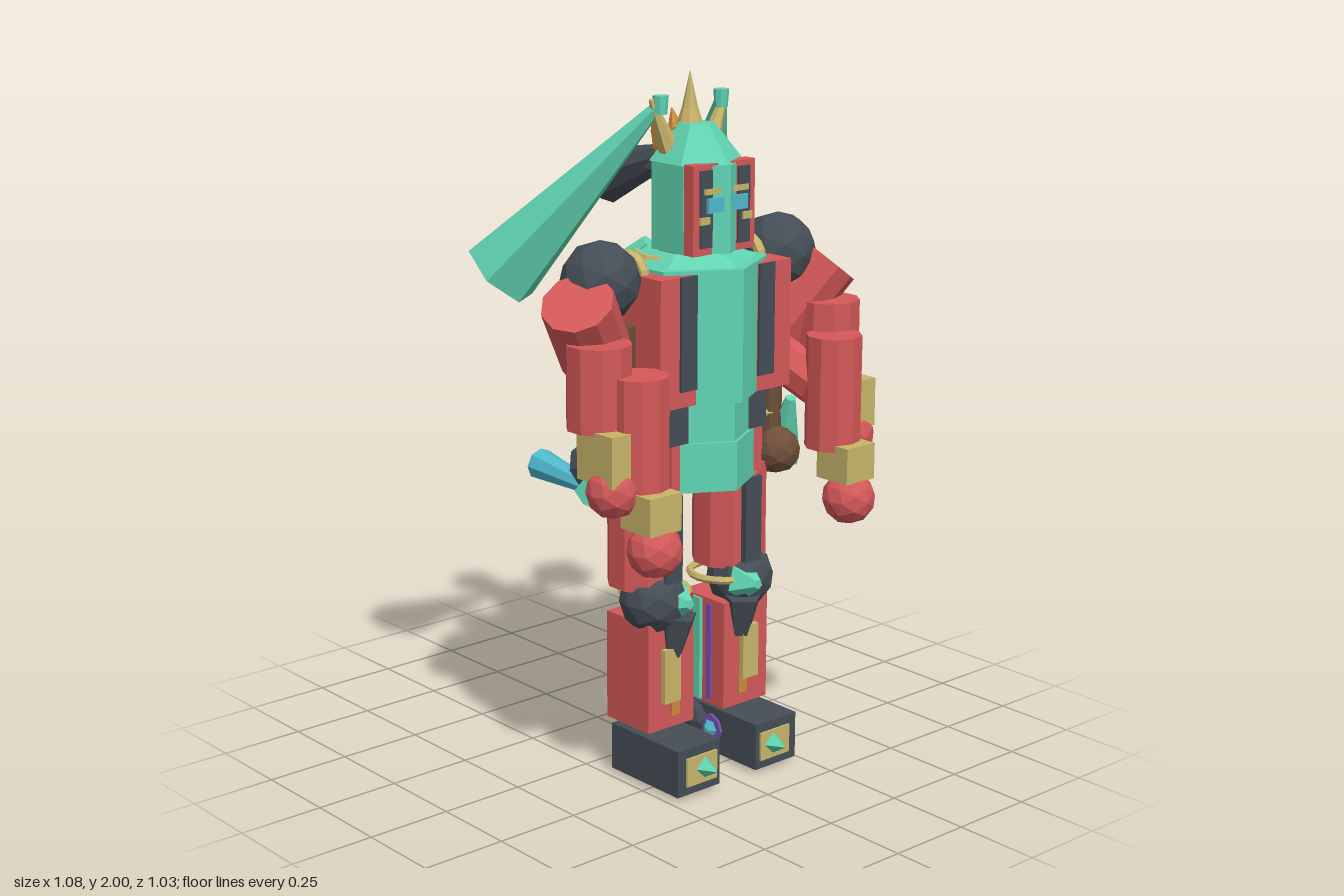
import * as THREE from 'three';

const mat = (name, color) => {
  const m = new THREE.MeshStandardMaterial({ color });
  m.name = name;
  return m;
};

export function createModel() {
  const red = mat('red', 0xd45858), green = mat('green', 0x60d4b2), dark = mat('charcoal', 0x454d56);
  const gold = mat('gold', 0xc8b46a), orange = mat('orange', 0xcc8a3c), brown = mat('brown', 0x6e4f3a);
  const purple = mat('purple', 0x7a50b0), cyan = mat('cyan', 0x50b8cc);
  const model = new THREE.Group();
  model.name = 'hornedRobot';

  // Faceted mesh helpers
  const add = (name, geometry, material, x = 0, y = 0, z = 0) => {
    const g = geometry.index ? geometry.toNonIndexed() : geometry;
    g.computeVertexNormals();
    const mesh = new THREE.Mesh(g, material);
    mesh.name = name;
    mesh.position.set(x, y, z);
    model.add(mesh);
    return mesh;
  };
  // Box given by its limits on each axis
  const box = (name, m, x0, x1, y0, y1, z0, z1) =>
    add(name, new THREE.BoxGeometry(Math.abs(x1 - x0), y1 - y0, z1 - z0), m, (x0 + x1) / 2, (y0 + y1) / 2, (z0 + z1) / 2);
  const ball = (name, m, r, x, y, z) => add(name, new THREE.IcosahedronGeometry(r, 1), m, x, y, z);
  // Upright prism between two heights
  const prism = (name, m, r0, r1, y0, y1, x, z, sides = 6) =>
    add(name, new THREE.CylinderGeometry(r1, r0, y1 - y0, sides), m, x, (y0 + y1) / 2, z);
  // Tapered rod from point a to point b
  const rod = (name, m, a, b, ra, rb, sides = 8) => {
    const p = new THREE.Vector3(...a), q = new THREE.Vector3(...b), d = q.clone().sub(p);
    const mesh = add(name, new THREE.CylinderGeometry(rb, ra, d.length(), sides), m);
    mesh.position.copy(p.add(q).multiplyScalar(0.5));
    mesh.quaternion.setFromUnitVectors(new THREE.Vector3(0, 1, 0), d.normalize());
    return mesh;
  };
  // Horizontal ring
  const ring = (name, m, R, r, x, y, z) =>
    add(name, new THREE.TorusGeometry(R, r, 6, 20).rotateX(Math.PI / 2), m, x, y, z);

  // Torso: a hexagonal core running through wider blocks
  prism('pelvisCore', green, 0.2, 0.2, 0.86, 1.0, 0, 0.16);
  box('hipBlock', red, -0.17, 0.17, 0.87, 1.0, 0.05, 0.28);
  prism('waistCore', green, 0.19, 0.19, 1.0, 1.12, 0, 0.16);
  box('waistBlock', dark, -0.18, 0.18, 1.0, 1.115, 0.03, 0.285);
  prism('chestCore', green, 0.22, 0.22, 1.115, 1.485, 0, 0.16);
  box('chestBlock', red, -0.24, 0.24, 1.115, 1.475, 0.02, 0.315);
  prism('collar', green, 0.19, 0.13, 1.485, 1.515, 0, 0.16);
  ring('neckRing', gold, 0.135, 0.013, 0, 1.495, 0.145);
  prism('neck', red, 0.105, 0.105, 1.46, 1.54, 0, 0.18, 10);

  // Head, face plate and cap
  prism('headCore', green, 0.13, 0.13, 1.52, 1.76, 0, 0.195);
  box('facePlate', red, -0.112, 0.112, 1.52, 1.765, 0.262, 0.3);
  prism('cap', green, 0.13, 0.05, 1.76, 1.86, 0, 0.185);

  // Crown: a concave central spike with smaller leaning spikes
  const spike = [[0.075, 0], [0.045, 0.06], [0.022, 0.13], [0, 0.23]].map(p => new THREE.Vector2(...p));
  add('crownSpike', new THREE.LatheGeometry(spike, 8), gold, 0, 1.77, 0.16);
  rod('crownBand', orange, [0, 1.76, 0.125], [0, 1.84, 0.11], 0.07, 0.075);
  for (const x of [-0.06, 0, 0.06])
    rod('crownBackSpike', orange, [x * 0.8, 1.8, 0.11], [x * 1.3, 1.89, 0.085], 0.035, 0.002, 6);

  // Swept ponytail and two-part tail
  rod('ponytail', dark, [0, 1.77, 0.1], [0, 1.67, -0.19], 0.025, 0.08);
  rod('ponytailRoot', dark, [0, 1.72, 0.1], [0, 1.72, 0.02], 0.05, 0.04);
  ball('tailJoint', dark, 0.04, 0, 0.9, -0.02);
  rod('tailBase', dark, [0, 0.9, -0.01], [0, 0.79, -0.28], 0.025, 0.075);
  rod('tailTip', cyan, [0, 0.71, -0.115], [0, 0.745, -0.515], 0.006, 0.049);

  // Everything below repeats on both sides
  for (const s of [-1, 1]) {
    // Face details
    box('cheekPanel', dark, s * 0.047, s * 0.09, 1.54, 1.75, 0.298, 0.306);
    box('cheekMark', gold, s * 0.06, s * 0.095, 1.605, 1.625, 0.304, 0.311);
    box('browMark', gold, s * 0.02, s * 0.08, 1.685, 1.7, 0.304, 0.312);
    box('eye', cyan, s * 0.015, s * 0.072, 1.635, 1.675, 0.308, 0.317);
    // Horns and crown side spikes
    rod('crownSideSpike', gold, [s * 0.06, 1.76, 0.16], [s * 0.135, 1.93, 0.155], 0.035, 0.007, 6);
    rod('horn', green, [s * 0.11, 1.92, 0.165], [s * 0.355, 1.43, -0.23], 0.015, 0.115, 6);
    prism('hornBud', green, 0.018, 0.022, 1.89, 1.94, s * 0.11, 0.165, 8);
    rod('lowerHorn', green, [s * 0.06, 1.52, 0.06], [s * 0.155, 1.33, -0.115], 0.025, 0.075, 6);
    rod('thruster', brown, [s * 0.09, 1.38, 0.05], [s * 0.12, 1.28, -0.045], 0.02, 0.048, 7);
    box('chestPanel', dark, s * 0.115, s * 0.172, 1.16, 1.475, 0.314, 0.323);

    // Outer arm
    rod('shoulderAxle', dark, [s * 0.2, 1.45, 0.17], [s * 0.33, 1.45, 0.17], 0.05, 0.05);
    add('shoulderRing', new THREE.TorusGeometry(0.06, 0.016, 6, 16).rotateY(Math.PI / 2), gold, s * 0.215, 1.46, 0.16);
    ball('shoulder', dark, 0.111, s * 0.327, 1.465, 0.17);
    rod('upperArm', red, [s * 0.46, 1.435, 0.235], [s * 0.33, 1.25, 0.16], 0.1, 0.1, 10);
    prism('outerForearm', red, 0.09, 0.09, 1.1, 1.33, s * 0.425, 0.28, 10);
    box('outerCuff', gold, s * 0.4, s * 0.49, 0.97, 1.11, 0.265, 0.41);
    ball('outerHand', red, 0.075, s * 0.44, 0.945, 0.355);

    // Inner arm
    ball('innerElbow', red, 0.09, s * 0.3, 1.205, 0.13);
    rod('innerUpperArm', red, [s * 0.3, 1.2, 0.13], [s * 0.35, 1.1, 0.32], 0.07, 0.07);
    prism('innerForearm', red, 0.08, 0.08, 0.925, 1.25, s * 0.36, 0.37, 10);
    box('innerCuff', gold, s * 0.31, s * 0.42, 0.84, 0.945, 0.36, 0.48);
    ball('innerHand', red, 0.077, s * 0.365, 0.785, 0.435);

    // Hanging hip gear
    prism('hipTube', brown, 0.035, 0.035, 0.9, 1.34, s * 0.275, 0.2, 8);
    prism('hipSleeve', dark, 0.045, 0.045, 1.12, 1.2, s * 0.275, 0.19, 8);
    ring('hipRing', gold, 0.05, 0.012, s * 0.275, 1.01, 0.17);
    ball('hipOrb', purple, 0.05, s * 0.27, 0.95, 0.15);
    ball('hipWeight', brown, 0.07, s * 0.275, 0.9, 0.23);
    rod('hipFin', green, [s * 0.31, 1.05, 0.25], [s * 0.345, 0.86, 0.17], 0.015, 0.065, 6);
    rod('hipNozzle', cyan, [s * 0.25, 0.89, 0.16], [s * 0.255, 0.81, 0.16], 0.015, 0.035, 6);

    // Thigh and knee
    prism('thigh', red, 0.108, 0.108, 0.58, 0.88, s * 0.16, 0.157, 10);
    box('thighPanel', dark, s * 0.12, s * 0.18, 0.6, 0.85, 0.24, 0.272);
    ball('knee', dark, 0.098, s * 0.165, 0.54, 0.2);
    ring('kneeRing', gold, 0.095, 0.011, s * 0.13, 0.55, 0.165);
    rod('kneeCap', green, [s * 0.13, 0.54, 0.25], [s * 0.13, 0.545, 0.315], 0.06, 0.015, 5);
    rod('kneeGuard', dark, [s * 0.125, 0.5, 0.255], [s * 0.13, 0.38, 0.24], 0.06, 0.03, 5);

    // Shin
    box('shin', red, s * 0.058, s * 0.227, 0.165, 0.485, 0.07, 0.25);
    box('shinPanel', gold, s * 0.12, s * 0.18, 0.245, 0.405, 0.25, 0.266);
    box('shinMark', orange, s * 0.115, s * 0.145, 0.2, 0.245, 0.25, 0.256);
    prism('calfColumn', green, 0.03, 0.03, 0.17, 0.48, s * 0.076, 0.14);
    box('calfStripe', purple, s * 0.052, s * 0.058, 0.18, 0.47, 0.18, 0.2);

    // Foot
    ball('heel', dark, 0.07, s * 0.11, 0.095, 0.115);
    prism('ankle', dark, 0.05, 0.05, 0.12, 0.2, s * 0.14, 0.16, 8);
    box('foot', dark, s * 0.07, s * 0.227, 0.012, 0.15, 0.09, 0.375);
    box('toePlate', gold, s * 0.085, s * 0.197, 0.038, 0.122, 0.375, 0.382);
    rod('toeSpike', green, [s * 0.132, 0.083, 0.378], [s * 0.132, 0.083, 0.43], 0.034, 0.002, 4);
    rod('footDisc', purple, [s * 0.072, 0.085, 0.19], [s * 0.062, 0.085, 0.19], 0.045, 0.045);
    rod('footStud', cyan, [s * 0.064, 0.085, 0.19], [s * 0.045, 0.085, 0.19], 0.03, 0.008, 6);
    prism('soleStud', cyan, 0.018, 0.018, 0, 0.013, s * 0.14, 0.24);
  }
  return model;
}
